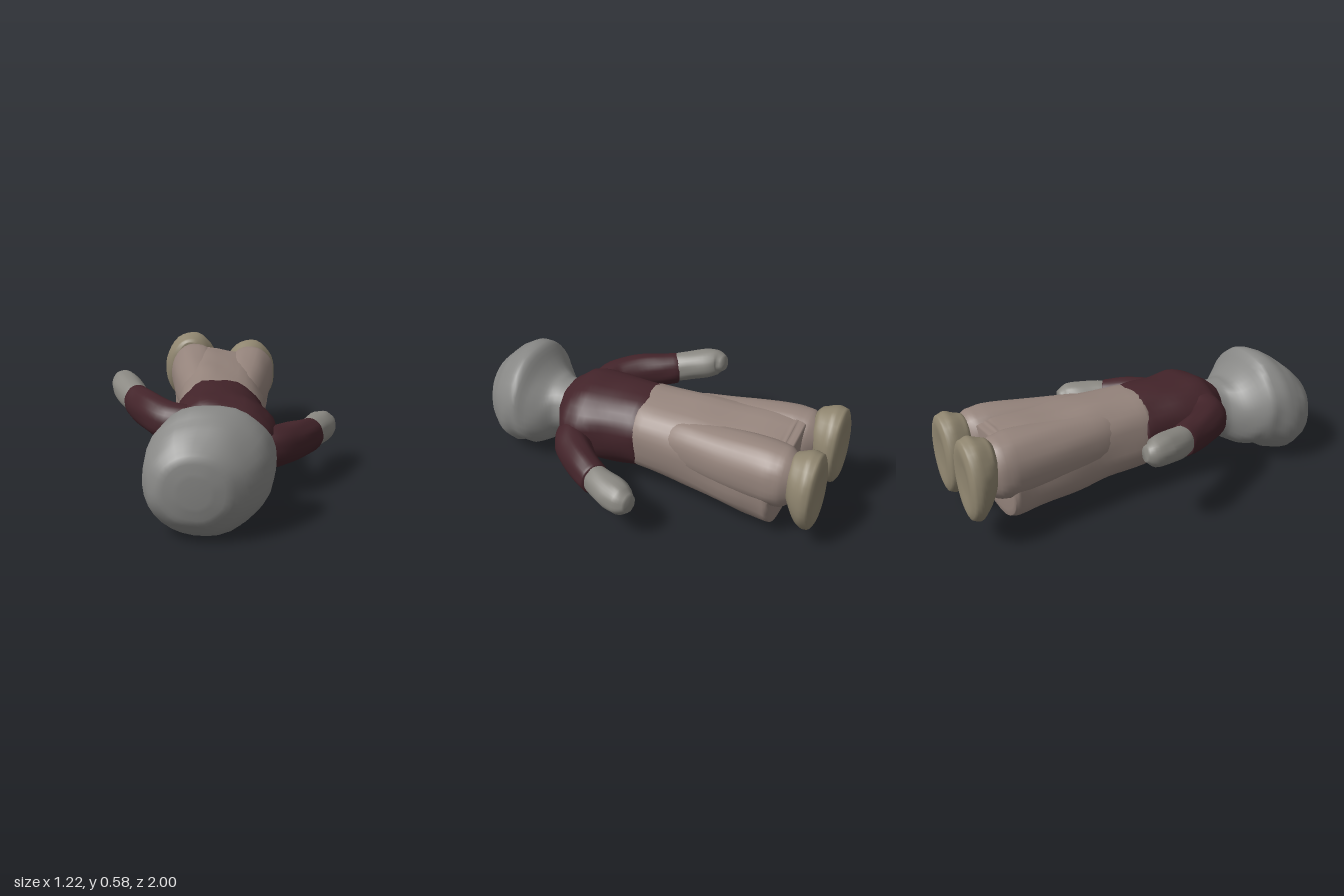
import * as THREE from 'three';

const UP = new THREE.Vector3(0, 1, 0);
const BACK = new THREE.Vector3(0, 0, -1);

// Closed lumpy loft through sections [x, y, z, halfWidth, halfHeight]
function loft(name, color, sections, { dir, roll = 0, power = 1, groove = 0, lump = 0.025, sides = 32, steps = 4 } = {}) {
  const path = new THREE.CatmullRomCurve3(sections.map(s => new THREE.Vector3(s[0], s[1], s[2])));
  const size = new THREE.CatmullRomCurve3(sections.map(s => new THREE.Vector3(s[3], s[4], 0)));
  const rings = (sections.length - 1) * steps;
  const pos = [], idx = [];
  const bend = v => Math.sign(v) * Math.pow(Math.abs(v), power);
  for (let i = 0; i <= rings; i++) {
    const c = path.getPoint(i / rings), r = size.getPoint(i / rings);
    const t = dir || path.getTangent(i / rings);
    const side = UP.clone().cross(t).normalize();
    const up = t.clone().cross(side);
    side.applyAxisAngle(t, roll);
    up.applyAxisAngle(t, roll);
    for (let j = 0; j < sides; j++) {
      const a = j / sides * Math.PI * 2;
      let k = 1 + lump * (Math.sin(3 * a + i * 0.5) * Math.sin(5 * a - i * 0.4) + 0.5 * Math.sin(7 * a + i * 0.7));
      k -= groove * Math.exp(-Math.pow((a - Math.PI / 2) / 0.3, 2)) * i / rings;
      const p = c.clone()
        .addScaledVector(side, r.x * k * bend(Math.cos(a)))
        .addScaledVector(up, r.y * k * bend(Math.sin(a)));
      pos.push(p.x, p.y, p.z);
    }
  }
  for (let i = 0; i < rings; i++) {
    for (let j = 0; j < sides; j++) {
      const n = (j + 1) % sides, a = i * sides, b = a + sides;
      idx.push(a + j, a + n, b + n, a + j, b + n, b + j);
    }
  }
  // end caps
  const first = path.getPoint(0), last = path.getPoint(1), base = rings * sides;
  const c0 = pos.length / 3;
  pos.push(first.x, first.y, first.z, last.x, last.y, last.z);
  for (let j = 0; j < sides; j++) {
    const n = (j + 1) % sides;
    idx.push(c0, n, j, c0 + 1, base + j, base + n);
  }
  const g = new THREE.BufferGeometry();
  g.setAttribute('position', new THREE.Float32BufferAttribute(pos, 3));
  g.setIndex(idx);
  g.computeVertexNormals();
  const mesh = new THREE.Mesh(g, new THREE.MeshStandardMaterial({ color }));
  mesh.name = name;
  return mesh;
}

export function createModel() {
  const group = new THREE.Group();
  group.name = 'lyingFigure';
  const HEAD = 0x888886, SHIRT = 0x43242a, TROUSERS = 0x95847c, HAND = 0x8a8882, SHOE = 0x8f856f;

  // Head and neck, crown towards the front
  group.add(loft('head', HEAD, [
    [-0.12, 0.26, 1.0, 0.07, 0.07],
    [-0.12, 0.26, 0.985, 0.16, 0.15],
    [-0.105, 0.255, 0.93, 0.23, 0.213],
    [-0.085, 0.268, 0.86, 0.275, 0.264],
    [-0.06, 0.295, 0.78, 0.297, 0.282],
    [-0.045, 0.312, 0.71, 0.295, 0.268],
    [-0.035, 0.275, 0.65, 0.265, 0.222],
    [-0.03, 0.262, 0.59, 0.208, 0.188],
    [-0.03, 0.28, 0.53, 0.15, 0.162],
    [-0.025, 0.31, 0.45, 0.14, 0.13],
  ], { dir: BACK, roll: 0.15, power: 0.94, lump: 0.014 }));

  // Torso
  group.add(loft('shirt', SHIRT, [
    [-0.025, 0.32, 0.51, 0.11, 0.1],
    [-0.02, 0.32, 0.47, 0.17, 0.135],
    [0, 0.32, 0.4, 0.25, 0.18],
    [0, 0.315, 0.3, 0.265, 0.205],
    [-0.015, 0.31, 0.15, 0.24, 0.21],
    [-0.025, 0.31, 0.0, 0.225, 0.21],
    [-0.025, 0.31, -0.03, 0.2, 0.19],
  ], { dir: BACK, roll: 0.2, power: 0.9 }));

  // Trousers: the low hem stops first, the upper half runs on towards the shoes
  group.add(loft('trousers', TROUSERS, [
    [-0.025, 0.31, 0.04, 0.2, 0.19],
    [-0.025, 0.31, 0.0, 0.223, 0.208],
    [-0.025, 0.305, -0.2, 0.23, 0.22],
    [-0.025, 0.293, -0.4, 0.252, 0.232],
    [-0.025, 0.285, -0.6, 0.275, 0.244],
    [-0.025, 0.28, -0.74, 0.285, 0.25],
    [-0.025, 0.282, -0.768, 0.28, 0.244],
    [-0.022, 0.375, -0.785, 0.262, 0.14],
    [-0.022, 0.38, -0.82, 0.25, 0.125],
  ], { dir: BACK, roll: 0.18, power: 0.82, groove: 0.12, lump: 0.015 }));

  // Legs and shoes; the right side lies slightly higher
  const feet = [
    { side: 'left', sign: 1, x: 0.14, y: 0.362, footX: 0.14, footY: 0.32 },
    { side: 'right', sign: -1, x: -0.185, y: 0.378, footX: -0.22, footY: 0.368 },
  ];
  for (const { side, sign, x, y, footX, footY } of feet) {
    group.add(loft(side + 'Leg', TROUSERS, [
      [x - sign * 0.05, y - 0.02, -0.08, 0.07, 0.09],
      [x - sign * 0.045, y - 0.015, -0.25, 0.115, 0.14],
      [x - sign * 0.022, y - 0.01, -0.5, 0.135, 0.158],
      [x, y, -0.74, 0.145, 0.166],
      [x + sign * 0.005, y, -0.82, 0.134, 0.158],
      [x + sign * 0.01, y, -0.88, 0.09, 0.12],
    ], { dir: BACK, roll: 0.1, power: 0.92, lump: 0.015 }));
    group.add(loft(side + 'Shoe', SHOE, [
      [footX, footY + 0.08, -0.84, 0.07, 0.09],
      [footX, footY + 0.05, -0.86, 0.115, 0.14],
      [footX, footY + 0.015, -0.9, 0.143, 0.19],
      [footX, footY, -0.945, 0.16, 0.217],
      [footX, footY, -0.98, 0.15, 0.207],
      [footX, footY, -0.995, 0.11, 0.16],
      [footX, footY, -0.985, 0.04, 0.06],
    ], { dir: BACK, roll: 0.06, lump: 0.012 }));
  }

  // Sleeves and hands
  group.add(loft('leftSleeve', SHIRT, [
    [0.14, 0.27, 0.36, 0.09, 0.11],
    [0.24, 0.26, 0.335, 0.097, 0.108],
    [0.325, 0.255, 0.26, 0.09, 0.103],
    [0.405, 0.25, 0.16, 0.083, 0.096],
    [0.455, 0.245, 0.08, 0.077, 0.085],
    [0.465, 0.245, 0.065, 0.05, 0.06],
  ]));
  group.add(loft('leftHand', HAND, [
    [0.42, 0.245, 0.13, 0.055, 0.07],
    [0.465, 0.245, 0.05, 0.075, 0.08],
    [0.505, 0.24, -0.05, 0.087, 0.083],
    [0.535, 0.235, -0.12, 0.075, 0.078],
    [0.545, 0.235, -0.17, 0.042, 0.045],
  ]));
  group.add(loft('rightSleeve', SHIRT, [
    [-0.14, 0.375, 0.36, 0.09, 0.1],
    [-0.26, 0.385, 0.34, 0.095, 0.1],
    [-0.342, 0.4, 0.26, 0.088, 0.098],
    [-0.415, 0.41, 0.14, 0.08, 0.093],
    [-0.458, 0.42, 0.06, 0.075, 0.085],
    [-0.468, 0.42, 0.045, 0.05, 0.06],
  ]));
  group.add(loft('rightHand', HAND, [
    [-0.425, 0.415, 0.12, 0.055, 0.07],
    [-0.475, 0.43, 0.03, 0.075, 0.08],
    [-0.522, 0.453, -0.08, 0.08, 0.08],
    [-0.55, 0.465, -0.15, 0.063, 0.07],
    [-0.545, 0.47, -0.195, 0.037, 0.038],
  ]));
  return group;
}
